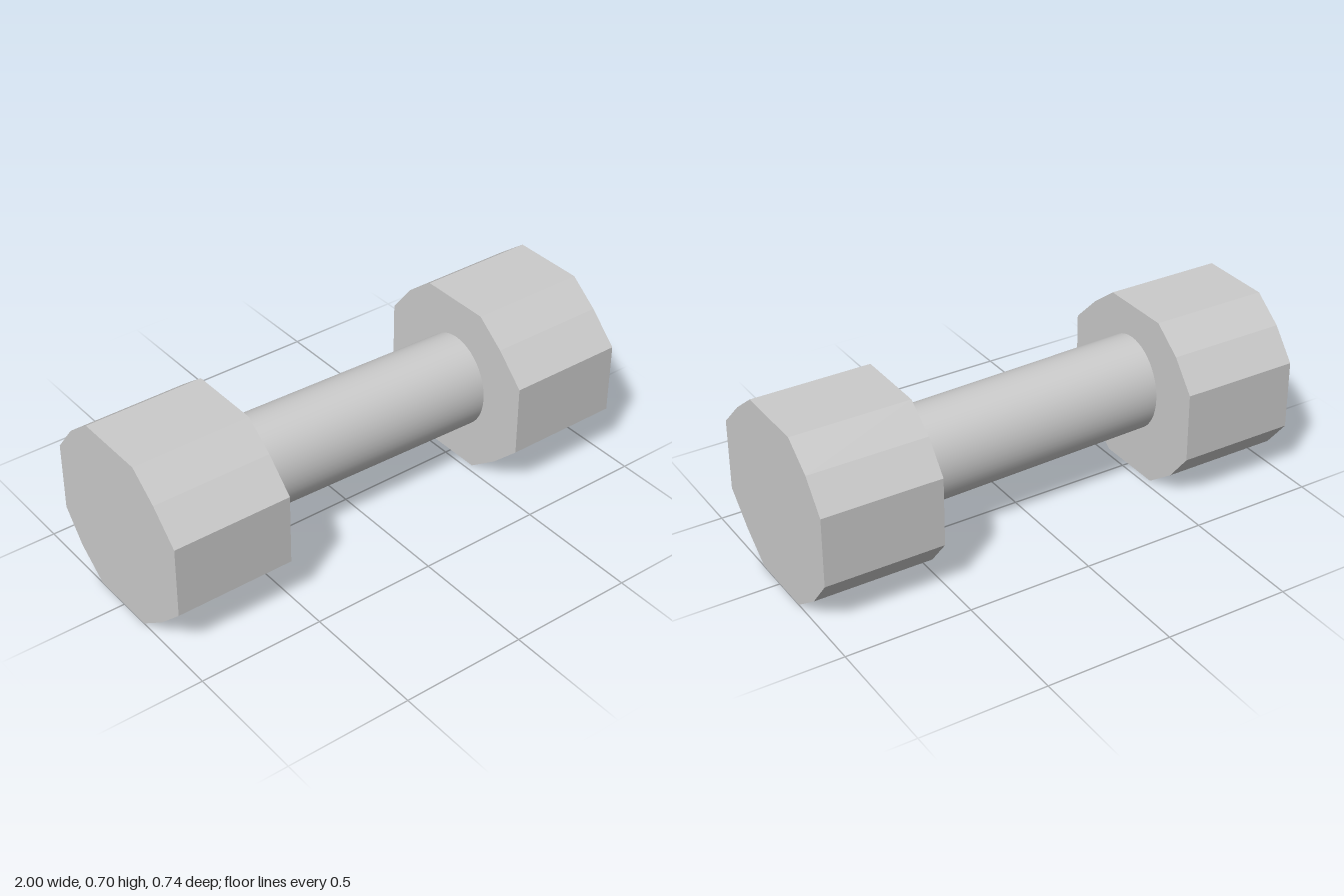
import * as THREE from 'three';

export function createModel() {
  const group = new THREE.Group();
  group.name = 'dumbbell';
  const material = new THREE.MeshStandardMaterial({ color: 0xcccccc });

  // Twelve-sided weight outline as [z, y]
  const outline = [
    [0.13, 0], [-0.15, 0], [-0.277, 0.094], [-0.372, 0.212], [-0.372, 0.49], [-0.277, 0.61],
    [-0.16, 0.7], [0.138, 0.7], [0.255, 0.61], [0.372, 0.495], [0.372, 0.207], [0.255, 0.094],
  ];
  const shape = new THREE.Shape(outline.map(([z, y]) => new THREE.Vector2(-z, y)));
  const inner = 0.526;
  const weight = new THREE.ExtrudeGeometry(shape, { depth: 1 - inner, bevelEnabled: false });
  weight.rotateY(Math.PI / 2); // extrude along +x

  for (const [name, x] of [['leftWeight', inner], ['rightWeight', -1]]) {
    const mesh = new THREE.Mesh(weight, material);
    mesh.name = name;
    mesh.position.x = x;
    group.add(mesh);
  }

  // Oval grip, sloping slightly down towards the left weight
  const grip = new THREE.CylinderGeometry(1, 1, 2 * inner + 0.02, 48);
  grip.rotateZ(-Math.PI / 2);
  grip.scale(1, 0.193, 0.173);
  const pos = grip.attributes.position;
  for (let i = 0; i < pos.count; i++) pos.setY(i, pos.getY(i) - 0.0255 * pos.getX(i));
  grip.computeBoundingSphere();
  const handle = new THREE.Mesh(grip, material);
  handle.name = 'handle';
  handle.position.set(0, 0.3615, 0.005);
  group.add(handle);

  return group;
}
